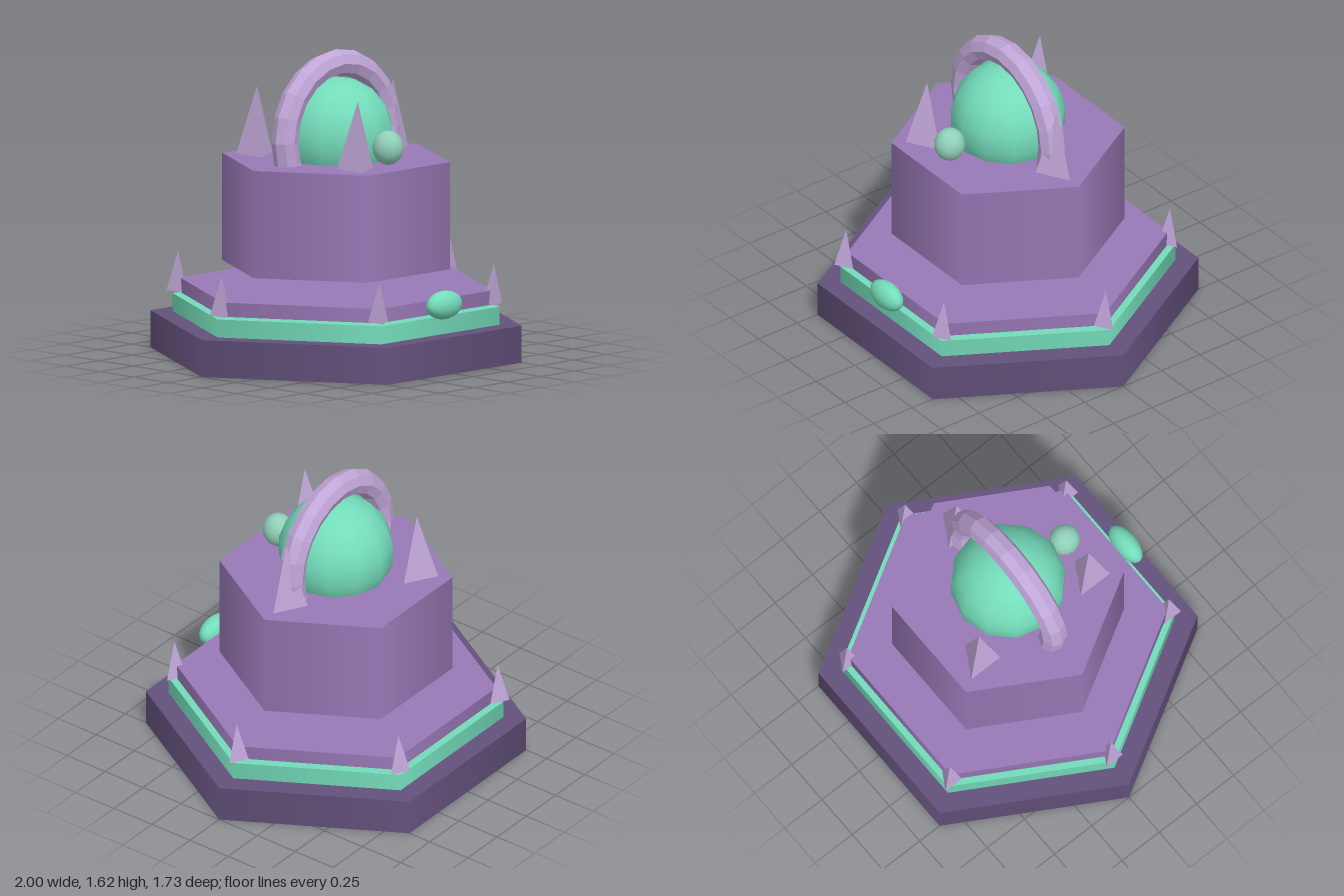
import * as THREE from 'three';

export function createModel() {
  const model = new THREE.Group();
  model.name = 'orbShrine';

  const material = (name, color, flatShading = false) => {
    const m = new THREE.MeshStandardMaterial({ color, flatShading });
    m.name = name;
    return m;
  };
  const darkPurple = material('dark purple stone', 0x63517b);
  const purple = material('purple stone', 0x9878b6);
  const mint = material('mint', 0x74dcba);
  const paleMint = material('pale mint', 0x90d0b8);
  const lilac = material('lilac crystal', 0xc0a6d8, true);

  const add = (name, geometry, mat, x = 0, y = 0, z = 0) => {
    const mesh = new THREE.Mesh(geometry, mat);
    mesh.name = name;
    mesh.position.set(x, y, z);
    model.add(mesh);
    return mesh;
  };

  // Hexagonal slabs with corners on the x axis
  const slab = (name, r, y0, y1, mat) =>
    add(name, new THREE.CylinderGeometry(r, r, y1 - y0, 6, 1, false, Math.PI / 6), mat, 0, (y0 + y1) / 2, 0);
  slab('base', 1, 0, 0.195, darkPurple);
  slab('glowBand', 0.88, 0.195, 0.29, mint);
  slab('upperStep', 0.843, 0.3, 0.375, purple);
  slab('floatingBlock', 0.613, 0.477, 1.043, purple);

  // Large orb with the ring arching over it
  add('orb', new THREE.SphereGeometry(0.305, 12, 9), mint, 0, 1.165, 0);
  add('ring', new THREE.TorusGeometry(0.38, 0.07, 8, 20), lilac, 0, 1.165, 0);

  // Three-sided spikes, evenly spread, all with one edge towards +x
  const spikes = (name, count, ringRadius, r, y0, y1) => {
    const geometry = new THREE.ConeGeometry(r, y1 - y0, 3, 1, false, Math.PI / 2);
    for (let i = 0; i < count; i++) {
      const a = (i / count) * Math.PI * 2;
      add(name, geometry, lilac, Math.cos(a) * ringRadius, (y0 + y1) / 2, Math.sin(a) * ringRadius);
    }
  };
  spikes('largeSpike', 3, 0.425, 0.112, 1.043, 1.405);
  spikes('cornerSpike', 6, 0.85, 0.063, 0.305, 0.517);

  // Small stretched beads at the front
  add('smallOrb', new THREE.SphereGeometry(1, 16, 12), paleMint, 0, 1.138, 0.38).scale.set(0.079, 0.09, 0.083);
  add('frontGem', new THREE.SphereGeometry(1, 16, 12), mint, 0, 0.355, 0.79).scale.set(0.12, 0.075, 0.062);

  return model;
}
